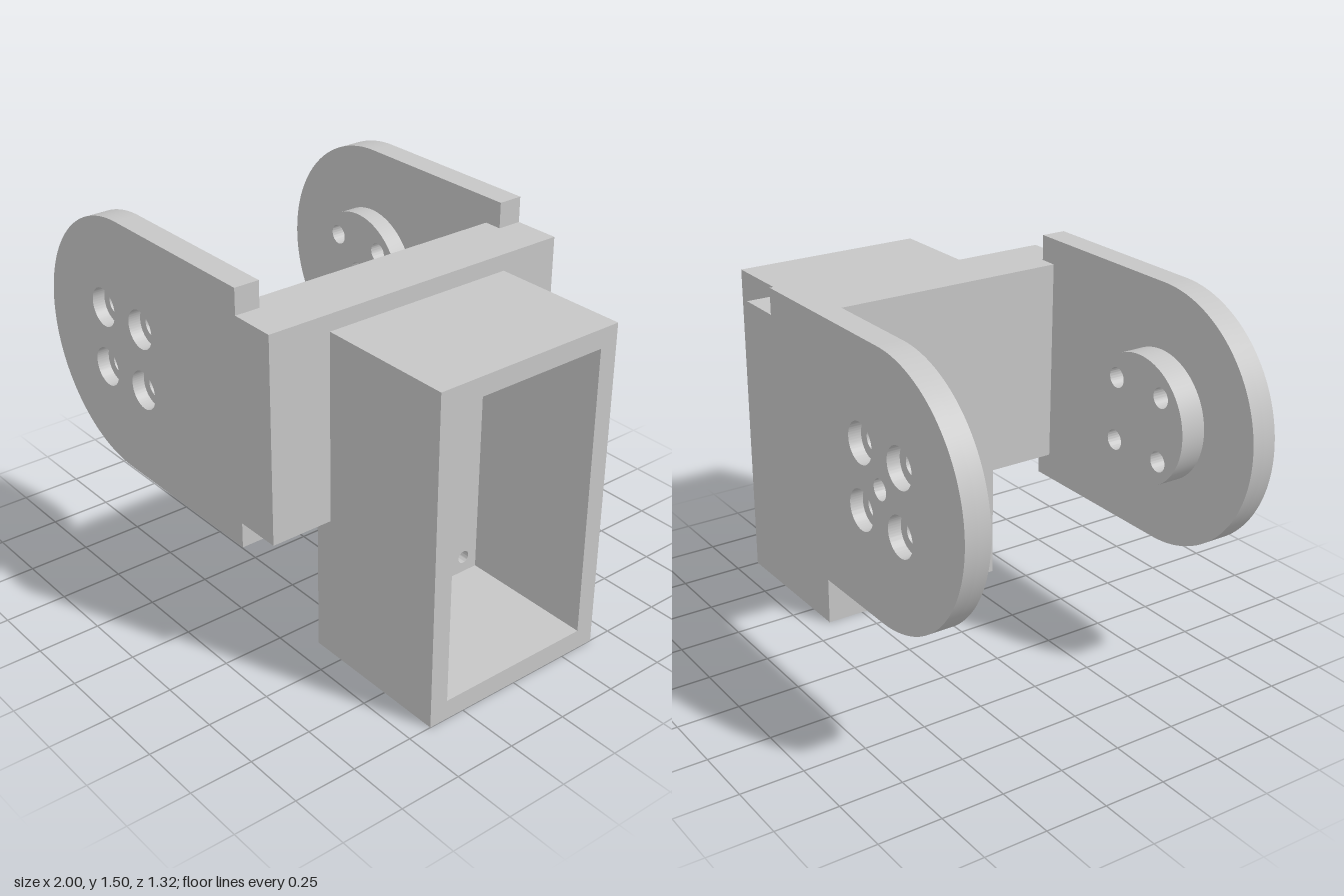
import * as THREE from 'three';
import { toCreasedNormals } from 'three/addons/utils/BufferGeometryUtils.js';

const grey = new THREE.MeshStandardMaterial({ color: 0xc6c6c6 });
grey.name = 'lightGrey';

const CX = -0.488, CY = 0.99;     // pivot axis
const BOLT = 0.126;               // bolt offset from the pivot
const PLATE_IN = 0.558, PLATE_OUT = 0.659;
const BORE_FLOOR = 0.608;         // bottom of the counterbores

function addHole(shape, x, y, r) {
  shape.holes.push(new THREE.Path().absarc(x, y, r, 0, Math.PI * 2, true));
}

function rectangle(x0, y0, x1, y1, Type = THREE.Shape) {
  return new Type([[x0, y0], [x1, y0], [x1, y1], [x0, y1]].map(p => new THREE.Vector2(...p)));
}

// Round-ended cheek outline with a narrower tab that joins the bridge
function cheekOutline() {
  const s = new THREE.Shape();
  s.moveTo(CX, 0.478);
  s.lineTo(0.253, 0.478);
  s.lineTo(0.253, 0.58);
  s.lineTo(0.44, 0.58);
  s.lineTo(0.44, 1.4);
  s.lineTo(0.253, 1.4);
  s.lineTo(0.253, 1.502);
  s.lineTo(CX, 1.502);
  s.absarc(CX, CY, 0.512, Math.PI / 2, Math.PI * 1.5, false);
  return s;
}

function discOutline() {
  return new THREE.Shape().absarc(CX, CY, 0.255, 0, Math.PI * 2, false);
}

function drill(shape, boltRadius, centreHole) {
  for (const i of [-1, 1]) for (const j of [-1, 1]) addHole(shape, CX + i * BOLT, CY + j * BOLT, boltRadius);
  if (centreHole) addHole(shape, CX, CY, 0.04);
  return shape;
}

// Extrude from a to b; axis 'x' turns the profile to run along x
function extrude(name, shape, a, b, axis = 'z') {
  const g = new THREE.ExtrudeGeometry(shape, { depth: b - a, bevelEnabled: false, curveSegments: 48 });
  g.translate(0, 0, a);
  if (axis === 'x') g.rotateY(Math.PI / 2);
  const mesh = new THREE.Mesh(toCreasedNormals(g, 0.5), grey);
  mesh.name = name;
  return mesh;
}

// One cheek: counterbored outer layer, drilled inner layer and raised disc
function cheek(name, side, discInner, centreHole) {
  const group = new THREE.Group();
  group.name = name;
  const layer = (part, shape, boltRadius, z0, z1) => {
    const [a, b] = side > 0 ? [z0, z1] : [-z1, -z0];
    group.add(extrude(part, drill(shape, boltRadius, centreHole), a, b));
  };
  layer('cheekOuterLayer', cheekOutline(), 0.078, BORE_FLOOR, PLATE_OUT);
  layer('cheekInnerLayer', cheekOutline(), 0.04, PLATE_IN, BORE_FLOOR);
  layer('pivotDisc', discOutline(), 0.04, discInner, PLATE_IN);
  return group;
}

export function createModel() {
  const model = new THREE.Group();
  model.name = 'bracket';

  model.add(cheek('frontCheek', 1, 0.455, false));
  model.add(cheek('backCheek', -1, 0.481, true));

  // Cross bridge between the cheeks
  const bridge = new THREE.Mesh(new THREE.BoxGeometry(0.26, 0.82, PLATE_IN * 2), grey);
  bridge.position.set(0.31, 0.99, 0);
  bridge.name = 'bridge';
  model.add(bridge);

  // Open rectangular housing
  const sleeve = rectangle(-0.404, 0, 0.404, 1.334);
  sleeve.holes.push(rectangle(-0.328, 0.08, 0.328, 1.258, THREE.Path));
  model.add(extrude('housingSleeve', sleeve, 0.44, 1, 'x'));

  // Housing rear wall with two small screw holes
  const wall = rectangle(-0.404, 0, 0.404, 1.334);
  for (const s of [-1, 1]) addHole(wall, s * 0.262, 0.147, 0.026);
  model.add(extrude('housingRearWall', wall, 0.365, 0.44, 'x'));

  return model;
}
